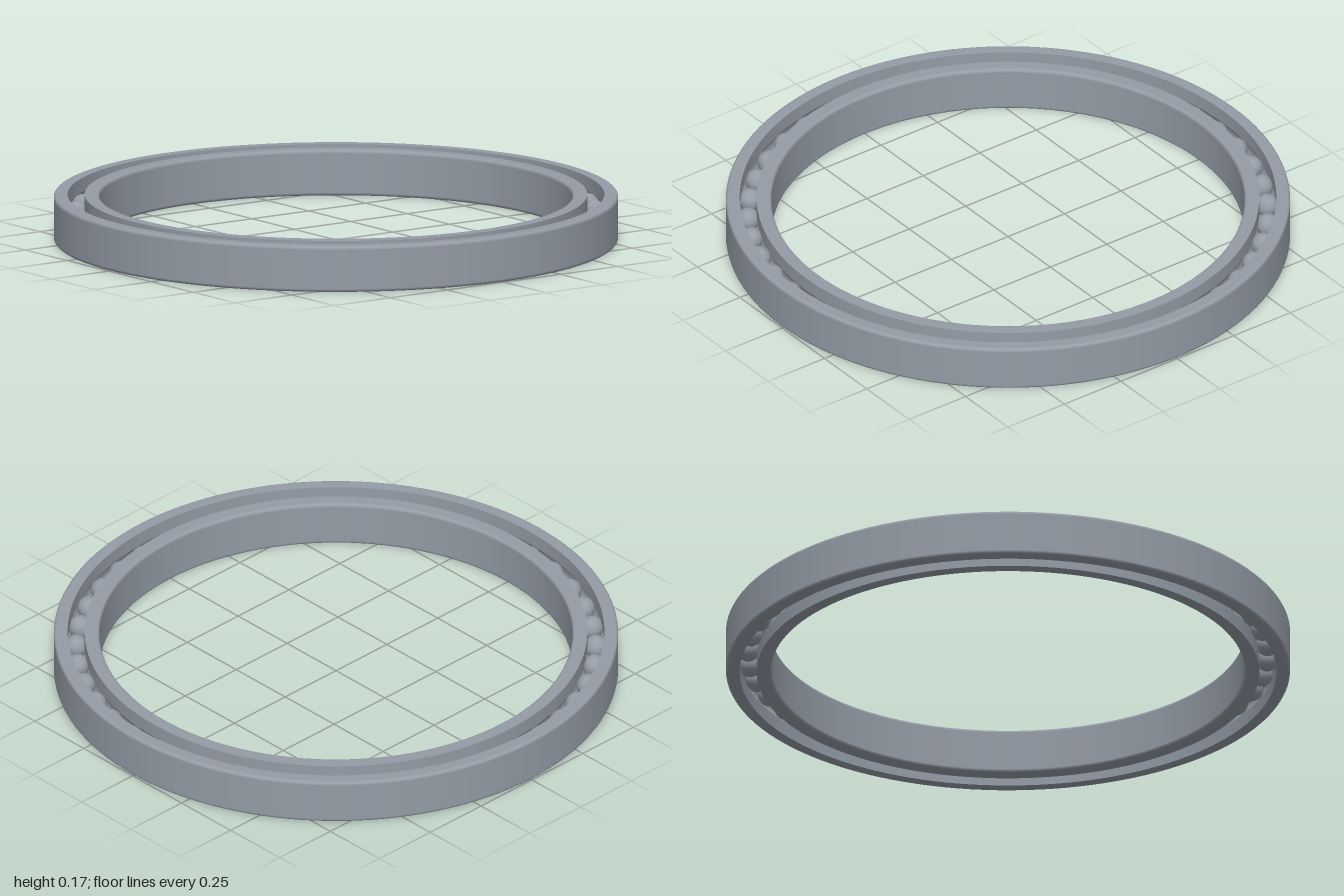
import * as THREE from 'three';
import { mergeGeometries } from 'three/addons/utils/BufferGeometryUtils.js';

const H = 0.165;            // ring height
const PITCH = 0.921;        // radius of the ball circle
const BALL_R = 0.042;
const GROOVE_R = 0.043;
const FILLET = 0.011;
const BALLS = 45;

// Points along an arc in the (radius, height) plane
function arc(cx, cy, r, a0, a1, n) {
  return Array.from({ length: n + 1 }, (_, i) => {
    const a = a0 + (a1 - a0) * i / n;
    return new THREE.Vector2(cx + r * Math.cos(a), cy + r * Math.sin(a));
  });
}

// Race with a filleted plain wall at rWall and a grooved wall at rGroove.
// Every run of the profile is lathed on its own so its edges stay crisp.
function raceGeometry(rWall, rGroove) {
  const s = Math.sign(rWall - rGroove);      // +1 outer race, -1 inner race
  const mid = H / 2, f = FILLET;
  const rIn = rWall - s * f;
  const open = Math.acos(Math.abs(rGroove - PITCH) / GROOVE_R);
  const mirror = pts => pts.map(p => new THREE.Vector2(s > 0 ? p.x : 2 * PITCH - p.x, p.y));
  const m = r => (s > 0 ? r : 2 * PITCH - r);
  const groove = mirror(arc(PITCH, mid, GROOVE_R, open, -open, 12));
  const low = mirror(arc(m(rIn), f, f, -Math.PI / 2, 0, 5));
  const high = mirror(arc(m(rIn), H - f, f, 0, Math.PI / 2, 5));
  const runs = [
    low,
    [low[5], high[0]],
    high,
    [high[5], new THREE.Vector2(rGroove, H)],
    [new THREE.Vector2(rGroove, H), groove[0]],
    groove,
    [groove[12], new THREE.Vector2(rGroove, 0)],
    [new THREE.Vector2(rGroove, 0), low[0]],
  ];
  // Mirrored profiles run the other way round, so reverse them to face outward
  return mergeGeometries(runs.map(r => new THREE.LatheGeometry(s > 0 ? r : r.slice().reverse(), 128)));
}

export function createModel() {
  const group = new THREE.Group();
  group.name = 'ballBearing';
  const steel = new THREE.MeshStandardMaterial({ color: 0x949ca6 });
  steel.name = 'steel';

  // Inner and outer races
  const outer = new THREE.Mesh(raceGeometry(1, 0.951), steel);
  outer.name = 'outerRace';
  const inner = new THREE.Mesh(raceGeometry(0.838, 0.891), steel);
  inner.name = 'innerRace';
  group.add(outer, inner);

  // Balls spaced evenly around the track, starting at -x
  const balls = new THREE.Group();
  balls.name = 'balls';
  const ballGeometry = new THREE.SphereGeometry(BALL_R, 24, 16);
  for (let i = 0; i < BALLS; i++) {
    const a = Math.PI + i * 2 * Math.PI / BALLS;
    const ball = new THREE.Mesh(ballGeometry, steel);
    ball.name = 'ball' + (i + 1);
    ball.position.set(PITCH * Math.cos(a), H / 2, PITCH * Math.sin(a));
    balls.add(ball);
  }
  group.add(balls);
  return group;
}
